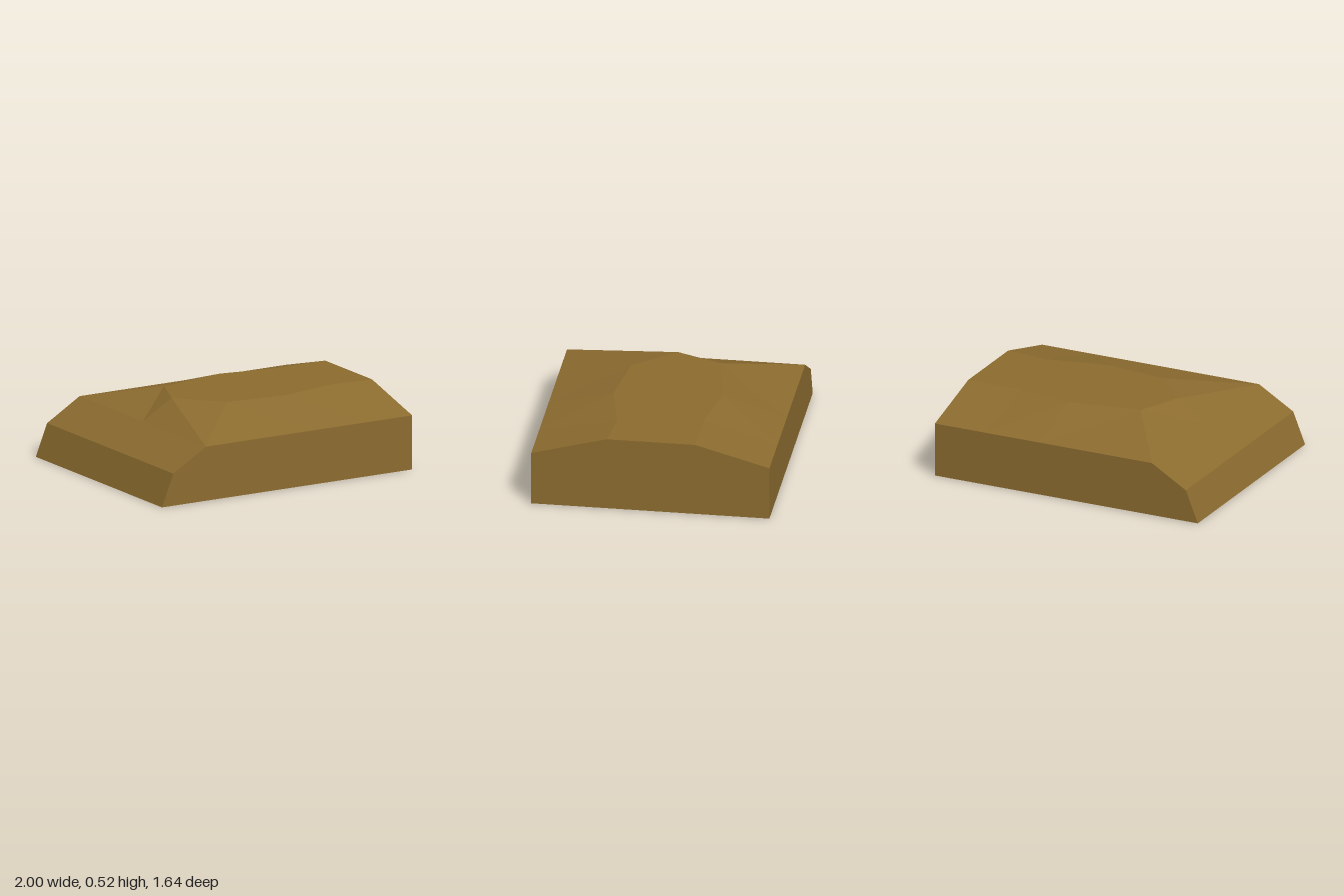
import * as THREE from 'three';

const W = 0.82, TOP = 0.52, RIM = 0.38, LIP = 0.225;
const CORE = new THREE.Vector3(0, 0.2, 0);

// Collects flat facets, each turned to face away from the core of the block.
function facetMesh(name, polygons, material) {
  const positions = [];
  for (const polygon of polygons) {
    const p = polygon.map((c) => new THREE.Vector3(...c));
    for (let i = 1; i < p.length - 1; i++) {
      let [a, b, c] = [p[0], p[i], p[i + 1]];
      const normal = b.clone().sub(a).cross(c.clone().sub(a));
      if (normal.dot(a.clone().sub(CORE)) < 0) [b, c] = [c, b];
      for (const v of [a, b, c]) positions.push(v.x, v.y, v.z);
    }
  }
  const geometry = new THREE.BufferGeometry();
  geometry.setAttribute('position', new THREE.Float32BufferAttribute(positions, 3));
  geometry.computeVertexNormals();
  const mesh = new THREE.Mesh(geometry, material);
  mesh.name = name;
  return mesh;
}

// Triangles between a lower rim and an upper ridge with equal point counts.
function slope(rim, ridge) {
  const faces = [];
  for (let i = 0; i < rim.length - 1; i++) {
    faces.push([rim[i], rim[i + 1], ridge[i]]);
    faces.push([rim[i + 1], ridge[i + 1], ridge[i]]);
  }
  return faces;
}

export function createModel() {
  const group = new THREE.Group();
  group.name = 'groundBlock';
  const earth = new THREE.MeshStandardMaterial({ color: 0x8b6b2f });
  earth.name = 'earth brown';

  // Irregular ridges bounding the plateau
  const frontRidge = [[-0.17, 0.31], [0.27, 0.36], [0.7, 0.27], [1, 0.3]].map(([x, z]) => [x, TOP, z]);
  const backRidge = [[-0.3, -0.29], [0.2, -0.38], [0.6, -0.31], [1, -0.31]].map(([x, z]) => [x, TOP, z]);
  const rim = (z) => [-0.65, 0.2, 0.62, 1].map((x) => [x, RIM, z]);
  const nose = [-0.43, TOP, 0.02];
  const mid = [-0.65, RIM, 0];
  const frontCorner = [-0.65, RIM, W], backCorner = [-0.65, RIM, -W];

  // Plateau
  const plateau = [[nose, frontRidge[0], backRidge[0]]];
  for (let i = 0; i < 3; i++) plateau.push([backRidge[i], frontRidge[i], frontRidge[i + 1], backRidge[i + 1]]);
  group.add(facetMesh('plateau', plateau, earth));

  // Long slopes down to the front and back rims
  group.add(facetMesh('frontSlope', slope(rim(W), frontRidge), earth));
  group.add(facetMesh('backSlope', slope(rim(-W), backRidge), earth));

  // Sloping end with its steep lip
  group.add(facetMesh('endSlope', [
    [backCorner, mid, backRidge[0]],
    [mid, nose, backRidge[0]],
    [mid, frontCorner, nose],
    [frontCorner, frontRidge[0], nose],
    [[-0.91, LIP, -W], [-0.91, LIP, W], frontCorner, mid, backCorner],
  ], earth));
  group.add(facetMesh('endLip', [
    [[-1, 0, -W], [-1, 0, W], [-0.91, LIP, W], [-0.91, LIP, -W]],
  ], earth));

  // Upright walls
  for (const [name, z] of [['frontWall', W], ['backWall', -W]]) {
    group.add(facetMesh(name, [
      [[1, 0, z], [1, RIM, z], [-0.65, RIM, z], [-0.91, LIP, z], [-1, 0, z]],
    ], earth));
  }
  group.add(facetMesh('endWall', [
    [[1, 0, W], [1, 0, -W], [1, RIM, -W], backRidge[3], frontRidge[3], [1, RIM, W]],
  ], earth));

  // Underside
  group.add(facetMesh('underside', [[[-1, 0, -W], [1, 0, -W], [1, 0, W], [-1, 0, W]]], earth));
  return group;
}
